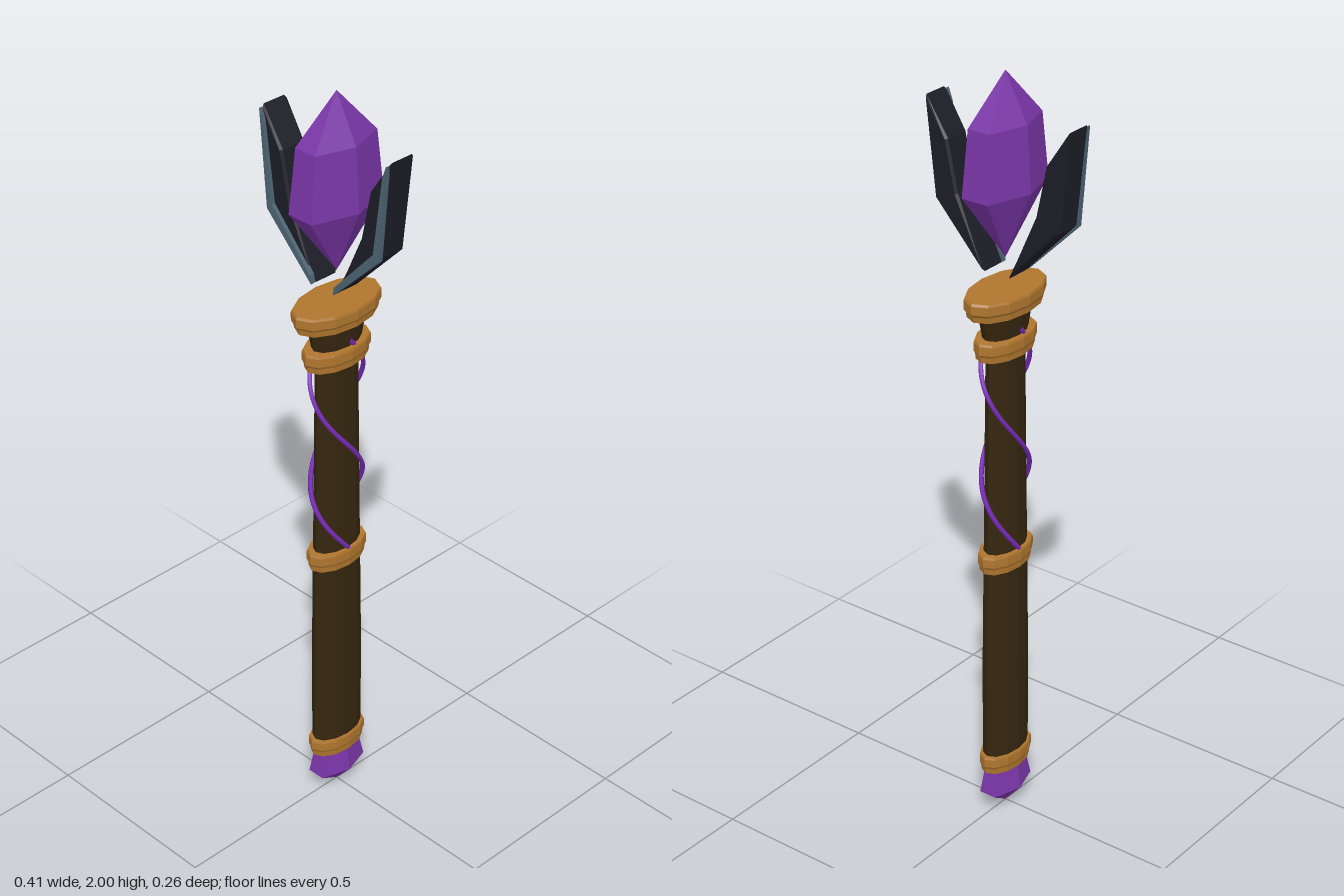
import * as THREE from 'three';

const SQUASH = 0.55; // the whole staff is oval: narrow in x, deep in z

function material(name, color) {
  const m = new THREE.MeshStandardMaterial({ color });
  m.name = name;
  return m;
}

function faceted(geometry) {
  const g = geometry.index ? geometry.toNonIndexed() : geometry;
  g.computeVertexNormals();
  return g;
}

export function createModel() {
  const group = new THREE.Group();
  const crystal = material('crystal purple', 0x7a36a8);
  const glow = material('vine violet', 0x7a2cbc);
  const gold = material('gold', 0xb0762e);
  const wood = material('dark wood', 0x35260f);
  const obsidian = material('obsidian', 0x1d1d27);
  const steel = material('steel', 0x4c6472);

  function add(name, geometry, mat) {
    const mesh = new THREE.Mesh(geometry, mat);
    mesh.name = name;
    group.add(mesh);
  }

  // Oval turned part from [radius, y] pairs, listed upwards
  function turned(name, profile, mat, sides = 12, start = 0) {
    const points = profile.map(([r, y]) => new THREE.Vector2(r, y));
    const g = new THREE.LatheGeometry(points, sides, start);
    g.scale(SQUASH, 1, 1);
    add(name, faceted(g), mat);
  }

  // Gems
  turned('headCrystal', [[0, 1.54], [0.134, 1.715], [0.114, 1.88], [0, 2]], crystal, 6, Math.PI / 6);
  turned('pommelCrystal', [[0, 0.005], [0.087, 0.06], [0.068, 0.135], [0, 0.135]], crystal, 6, Math.PI / 6);

  // Wooden shaft and flared neck
  turned('lowerShaft', [[0, 0.13], [0.077, 0.13], [0.077, 0.44], [0.072, 0.75], [0, 0.75]], wood);
  turned('upperShaft', [[0, 0.74], [0.072, 0.74], [0.063, 1.33], [0, 1.33]], wood);
  turned('neck', [[0, 1.32], [0.068, 1.32], [0.09, 1.43], [0, 1.43]], wood);

  // Gold bands: lower y, upper y, radius
  const bands = [
    ['pommelBand', 0.13, 0.18, 0.088],
    ['middleBand', 0.72, 0.77, 0.091],
    ['neckBand', 1.3, 1.35, 0.101],
    ['headCollar', 1.415, 1.465, 0.131],
  ];
  for (const [name, y0, y1, r] of bands) {
    turned(name, [[0, y0], [r * 0.93, y0], [r * 0.95, y0 + 0.015], [r, y0 + 0.022],
      [r, y1 - 0.006], [r * 0.97, y1], [0, y1]], gold);
  }

  // Two vines winding around the upper shaft
  for (const phase of [0, Math.PI]) {
    const points = [];
    for (let i = 0; i <= 24; i++) {
      const t = i / 24;
      const a = phase + t * Math.PI * 2;
      points.push(new THREE.Vector3(0.042 * Math.cos(a), 0.77 + 0.6 * t, 0.079 * Math.sin(a)));
    }
    const path = new THREE.CatmullRomCurve3(points);
    add('vine', new THREE.TubeGeometry(path, 64, 0.006, 6), glow);
  }

  // Outline extruded in z with an optional bevel that stays inside the depth
  function plate(points, side, z0, z1, bevel) {
    const shape = new THREE.Shape(points.map(([x, y]) => new THREE.Vector2(x * side, y)));
    const g = new THREE.ExtrudeGeometry(shape, {
      depth: z1 - z0 - 2 * bevel, bevelEnabled: bevel > 0, bevelThickness: bevel,
      bevelSize: bevel, bevelOffset: -bevel, bevelSegments: 1,
    });
    g.translate(0, 0, z0 + bevel);
    return faceted(g);
  }

  // Floating prongs either side of the crystal, with a steel edge in front
  const blade = [[0.036, 1.505], [0.18, 1.655], [0.205, 1.905], [0.142, 1.81], [0.114, 1.68]];
  const edge = [[0.036, 1.505], [0.182, 1.65], [0.203, 1.9], [0.192, 1.87], [0.165, 1.665], [0.04, 1.528]];
  for (const [name, side] of [['left', 1], ['right', -1]]) {
    add(name + 'Prong', plate(blade, side, -0.038, 0.038, 0.006), obsidian);
    add(name + 'ProngEdge', plate(edge, side, 0.034, 0.048, 0), steel);
  }

  return group;
}
